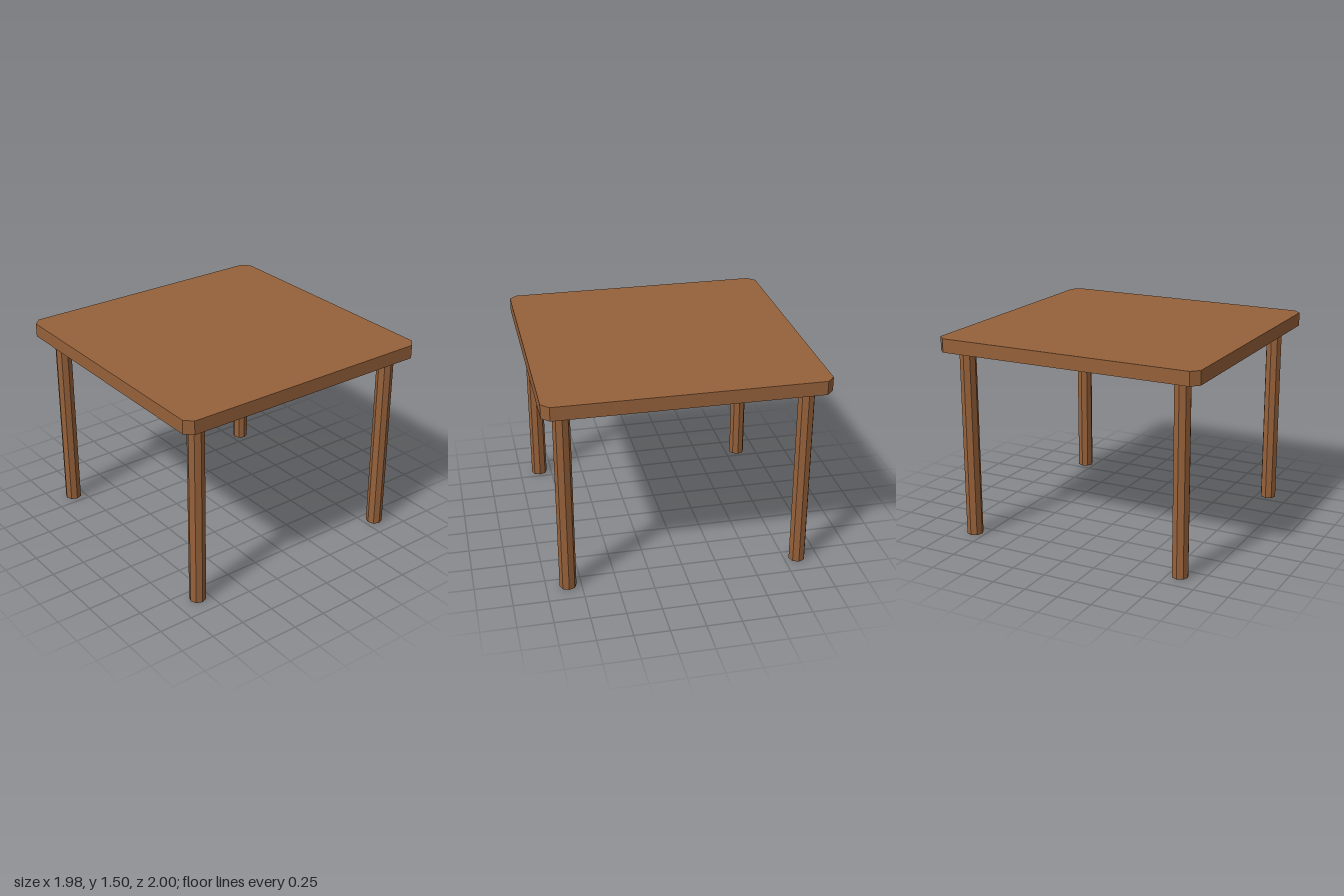
import * as THREE from 'three';

export function createModel() {
  const group = new THREE.Group();
  const wood = new THREE.MeshStandardMaterial({ color: 0x96613a, flatShading: true });
  wood.name = 'brown wood';

  const legHeight = 1.395, topThickness = 0.1;

  // Table top: a slab with cut corners
  const w = 0.99, d = 1, cut = 0.055;
  const outline = new THREE.Shape([
    [w - cut, -d], [w, -d + cut], [w, d - cut], [w - cut, d],
    [-w + cut, d], [-w, d - cut], [-w, -d + cut], [-w + cut, -d],
  ].map(([x, y]) => new THREE.Vector2(x, y)));
  const slab = new THREE.ExtrudeGeometry(outline, { depth: topThickness, bevelEnabled: false });
  slab.rotateX(-Math.PI / 2);
  const top = new THREE.Mesh(slab, wood);
  top.name = 'tableTop';
  top.position.y = legHeight;
  group.add(top);

  // Four eight-sided legs
  const legGeometry = new THREE.CylinderGeometry(0.06, 0.06, legHeight, 8);
  for (const [front, z] of [['front', 0.835], ['back', -0.835]]) {
    for (const [side, x] of [['Left', 0.845], ['Right', -0.845]]) {
      const leg = new THREE.Mesh(legGeometry, wood);
      leg.name = `${front}${side}Leg`;
      leg.position.set(x, legHeight / 2, z);
      group.add(leg);
    }
  }
  return group;
}
